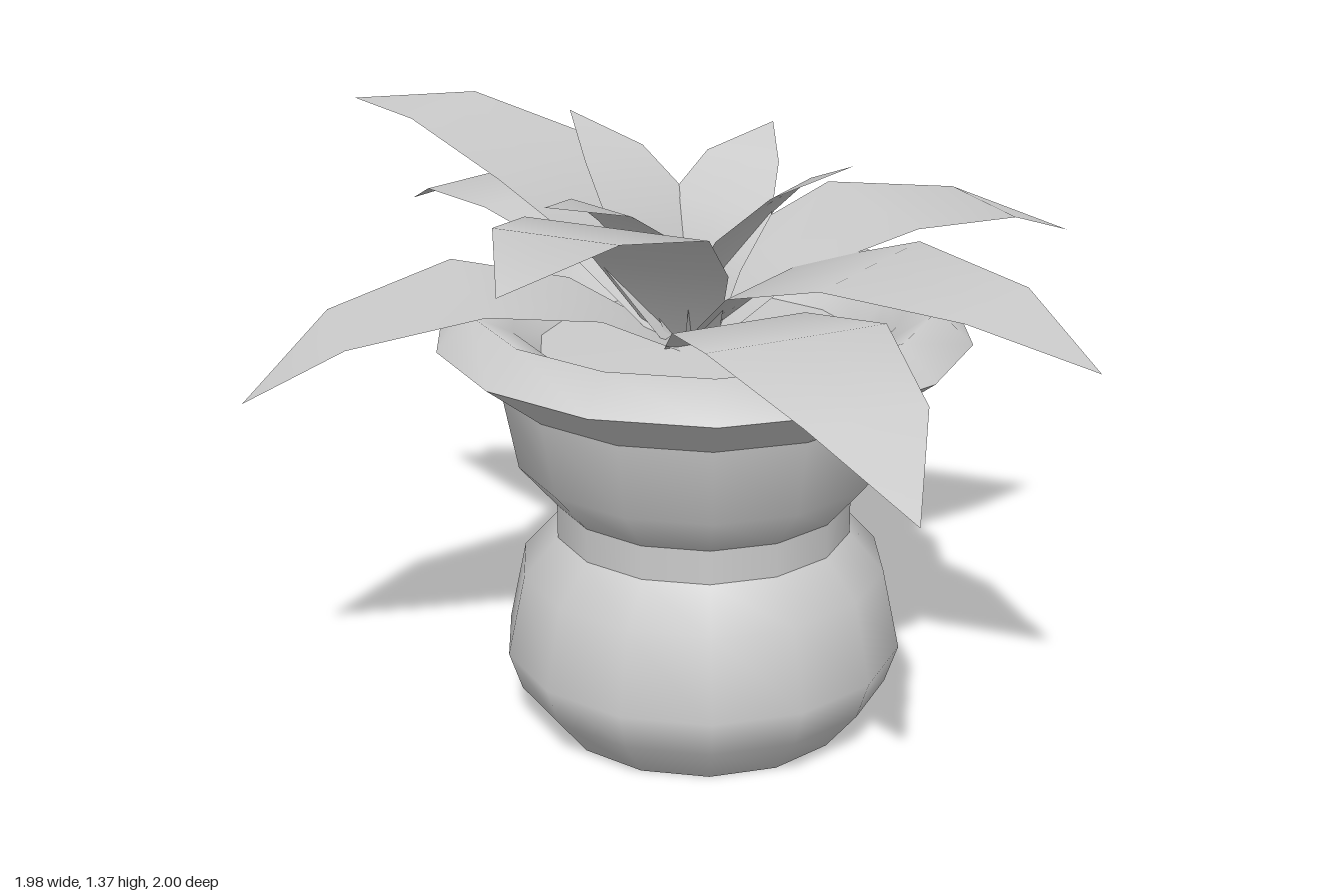
import * as THREE from 'three';

const material = new THREE.MeshStandardMaterial({ color: 0xcccccc });
const leafMaterial = new THREE.MeshStandardMaterial({ color: 0xcccccc, side: THREE.DoubleSide });

// One smooth band of the pot; separate bands keep hard edges between them
function band(name, profile) {
  const points = profile.map(([r, y]) => new THREE.Vector2(r, y));
  const mesh = new THREE.Mesh(new THREE.LatheGeometry(points, 14, Math.PI / 2), material);
  mesh.name = name;
  return mesh;
}

// Thin pointed leaf: rows of [distance, height, half width], running along +x
function leafGeometry(rows, length, tipY) {
  const last = rows[rows.length - 1];
  const positions = [];
  const index = [];
  rows.forEach(([d, y, w], i) => {
    const t = d / last[0];
    const h = y + (tipY - last[1]) * t * t;
    for (const side of [-1, 0, 1]) positions.push(t * length, h, side * w);
    if (i === 0) return;
    const b = i * 3;
    for (const a of [b - 3, b - 2]) index.push(a, a + 1, a + 3, a + 1, a + 4, a + 3);
  });
  const geometry = new THREE.BufferGeometry();
  geometry.setAttribute('position', new THREE.Float32BufferAttribute(positions, 3));
  geometry.setIndex(index);
  geometry.computeVertexNormals();
  return geometry;
}

// Side curve and width of each tier, and the tips [x, z, y] of its leaves
const tiers = [
  {
    name: 'lowerLeaf',
    rows: [[0.03, 0.9, 0.08], [0.24, 1.02, 0.16], [0.5, 1.07, 0.21], [0.79, 1.0, 0.14], [1, 0.85, 0]],
    tips: [[-1, 0, 0.85], [0.18, 1, 0.85], [0.1, -1, 0.85]],
  },
  {
    name: 'middleLeaf',
    rows: [[0.03, 0.92, 0.08], [0.2, 1.08, 0.16], [0.46, 1.16, 0.21], [0.76, 1.13, 0.14], [1, 1.03, 0]],
    tips: [[0.98, -0.17, 1.03], [0.65, 0.76, 1.03], [-0.48, -0.85, 1.03]],
  },
  {
    name: 'upperLeaf',
    rows: [[0.03, 0.92, 0.08], [0.16, 1.12, 0.16], [0.38, 1.27, 0.21], [0.65, 1.33, 0.14], [0.9, 1.28, 0]],
    tips: [[-0.57, 0.7, 1.28], [-0.65, -0.56, 1.365]],
  },
  {
    name: 'innerLeaf',
    rows: [[0.02, 0.92, 0.06], [0.06, 1.07, 0.1], [0.14, 1.19, 0.135], [0.25, 1.29, 0.095], [0.4, 1.36, 0]],
    tips: [[0.28, 0.28, 1.36], [0.26, -0.23, 1.33], [-0.2, -0.3, 1.37], [-0.37, 0.21, 1.3]],
  },
];

export function createModel() {
  const model = new THREE.Group();
  model.name = 'pottedPlant';

  // Pot with a pinched waist and a flared rim
  const pot = new THREE.Group();
  pot.name = 'pot';
  pot.position.set(0.02, 0, 0.035);
  pot.add(
    band('potBase', [[0, 0], [0.35, 0]]),
    band('potBelly', [[0.35, 0], [0.43, 0.1], [0.46, 0.19], [0.42, 0.38], [0.34, 0.47]]),
    band('potWaist', [[0.34, 0.47], [0.34, 0.55]]),
    band('potBowl', [[0.34, 0.55], [0.425, 0.65], [0.46, 0.83]]),
    band('rimUnderside', [[0.46, 0.83], [0.6, 0.94]]),
    band('rim', [[0.6, 0.94], [0.52, 1.015], [0.43, 0.97], [0.37, 0.9]]),
    band('soil', [[0.37, 0.9], [0, 0.91]]),
  );
  model.add(pot);

  // Rosette of arching leaves
  const rosette = new THREE.Group();
  rosette.name = 'rosette';
  for (const { name, rows, tips } of tiers) {
    tips.forEach(([x, z, y], i) => {
      const leaf = new THREE.Mesh(leafGeometry(rows, Math.hypot(x, z), y), leafMaterial);
      // Corner order here faces downward, so reverse it to face up
      leaf.geometry.setIndex([...leaf.geometry.index.array].reverse());
      leaf.geometry.computeVertexNormals();
      leaf.name = `${name}${i + 1}`;
      leaf.rotation.y = Math.atan2(-z, x);
      rosette.add(leaf);
    });
  }
  model.add(rosette);
  return model;
}
